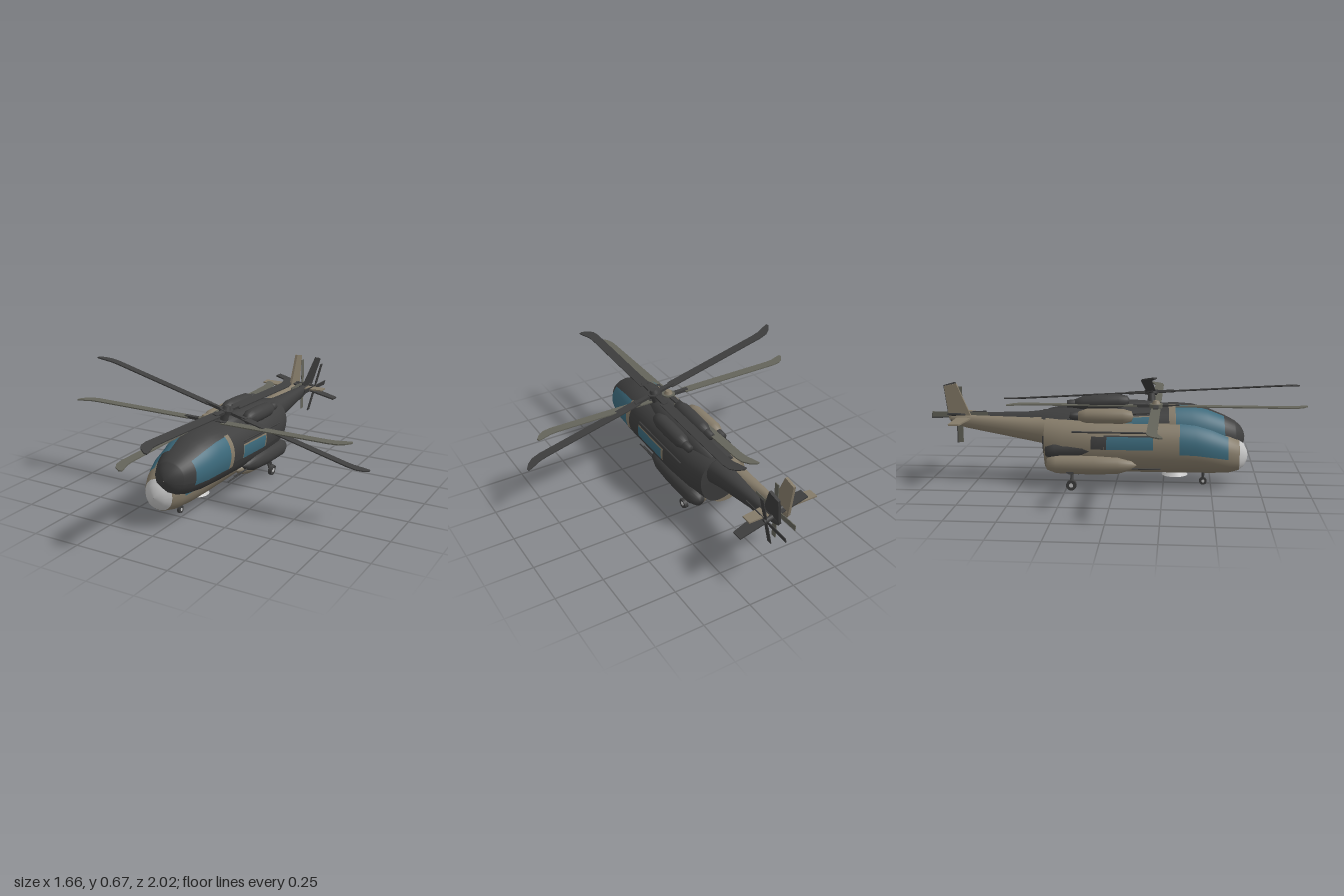
import * as THREE from 'three';

const mat = (name, color) => {
  const m = new THREE.MeshStandardMaterial({ color });
  m.name = name;
  return m;
};

// Fuselage and boom sections: z, centre y, half width, half height
const BODY = [
  [0.69, 0.165, 0.002, 0.002], [0.685, 0.165, 0.026, 0.028], [0.67, 0.165, 0.054, 0.058],
  [0.64, 0.168, 0.082, 0.083], [0.59, 0.177, 0.109, 0.104], [0.5, 0.197, 0.135, 0.127],
  [0.42, 0.21, 0.145, 0.14], [0.33, 0.215, 0.15, 0.146], [-0.1, 0.215, 0.15, 0.146],
  [-0.27, 0.215, 0.138, 0.144], [-0.37, 0.217, 0.115, 0.138],
];
const BOOM = [[-0.3, 0.275, 0.085, 0.08], [-0.45, 0.285, 0.055, 0.062],
  [-0.8, 0.322, 0.02, 0.034], [-0.88, 0.335, 0.012, 0.02], [-0.882, 0.335, 0.001, 0.001]];

function sectionAt(z) {
  const i = Math.max(1, BODY.findIndex((s) => s[0] <= z));
  const a = BODY[i - 1], b = BODY[i], t = (a[0] - z) / (a[0] - b[0]);
  return a.map((v, k) => v + (b[k] - v) * t);
}

// Skin over sections, between two angles in degrees
function loft(sections, a0 = 0, a1 = 360, n = 36, off = 0) {
  const pos = [], idx = [];
  const pw = (v) => Math.sign(v) * Math.abs(v) ** 0.92;
  sections.forEach(([z, cy, hw, hh], i) => {
    for (let j = 0; j <= n; j++) {
      const a = THREE.MathUtils.degToRad(a0 + ((a1 - a0) * j) / n);
      pos.push((hw + off) * pw(Math.cos(a)), cy + (hh + off) * pw(Math.sin(a)), z);
      if (i && j) {
        const d = i * (n + 1) + j, c = d - 1, b = d - n - 1, a2 = b - 1;
        idx.push(a2, c, b, b, c, d);
      }
    }
  });
  const g = new THREE.BufferGeometry();
  g.setAttribute('position', new THREE.Float32BufferAttribute(pos, 3));
  g.setIndex(idx);
  g.computeVertexNormals();
  return g;
}

// Painted panel lying on the fuselage skin
function panel(z0, z1, a0, a1, off) {
  const mid = BODY.filter((s) => s[0] < z0 && s[0] > z1);
  return loft([sectionAt(z0), ...mid, sectionAt(z1)], a0, a1, 18, off);
}

// Round body along z from [radius, z] pairs
function spindle(profile) {
  return new THREE.LatheGeometry(profile.map(([r, z]) => new THREE.Vector2(r, z)), 20).rotateX(Math.PI / 2);
}

function plate(points, depth) {
  const shape = new THREE.Shape(points.map(([x, y]) => new THREE.Vector2(x, y)));
  return new THREE.ExtrudeGeometry(shape, { depth, bevelEnabled: false }).translate(0, 0, -depth / 2);
}

function rod(a, b, r) {
  const va = new THREE.Vector3(...a), vb = new THREE.Vector3(...b);
  return new THREE.TubeGeometry(new THREE.LineCurve3(va, vb), 1, r, 8);
}

function helicopter(name, paint, accent, blade, nose, c) {
  const g = new THREE.Group();
  g.name = name;
  const add = (part, geo, m, x = 0, y = 0, z = 0) => {
    const mesh = new THREE.Mesh(geo, m);
    mesh.name = part;
    mesh.position.set(x, y, z);
    g.add(mesh);
    return mesh;
  };

  // Fuselage
  const cut = sectionAt(0.645);
  add('radome', loft([...BODY.filter((s) => s[0] > 0.645), cut]), nose);
  add('fuselage', loft([cut, ...BODY.filter((s) => s[0] < 0.645)]), paint);
  const end = BODY[BODY.length - 1];
  add('rearBulkhead', loft([end, [-0.38, 0.22, 0.001, 0.001]]), paint);
  add('tailBoom', loft(BOOM), paint);
  add('roofFairing', spindle([[0, -0.36], [0.04, -0.34], [0.062, -0.2], [0.066, 0.1], [0.05, 0.24], [0, 0.3]]),
    paint, 0, 0.32, 0);

  // Glazing and painted frames, both sides
  for (const side of [1, -1]) {
    const p = (part, z0, z1, a0, a1, off, m) => add(part,
      side > 0 ? panel(z0, z1, a0, a1, off) : panel(z0, z1, 180 - a1, 180 - a0, off), m);
    p('cockpitGlass', 0.585, 0.335, -7, 58, 0.003, c.glass);
    p('cabinWindow', 0.2, -0.04, 0, 24, 0.004, c.glass);
    p('windowFrame', 0.2, -0.055, 0, 27, 0.002, accent);
    if (paint === c.dark) p('cockpitBand', 0.335, 0.3, -7, 60, 0.003, accent);
    else p('doorPanel', -0.055, -0.12, 0, 24, 0.003, accent);

    // Side tanks, engines and rails
    add('sponson', spindle([[0, -0.355], [0.03, -0.35], [0.048, -0.3], [0.052, -0.1], [0.045, 0.02],
      [0.025, 0.09], [0, 0.115]]), paint, side * 0.13, 0.13, 0);
    add('enginePod', spindle([[0, -0.2], [0.022, -0.195], [0.038, -0.15], [0.041, -0.05], [0.04, 0.04],
      [0.028, 0.085], [0, 0.095]]), paint, side * 0.066, 0.373, 0);
    add('exhaust', spindle([[0, -0.235], [0.02, -0.235], [0.024, -0.18], [0, -0.17]]), c.dark, side * 0.066, 0.373, 0);
    add('sideRail', rod([side * 0.128, 0.3, 0.2], [side * 0.128, 0.3, -0.22], 0.005), c.dark);
    add('lowerRail', rod([side * 0.145, 0.115, 0.24], [side * 0.145, 0.115, 0.06], 0.004), c.dark);

    // Main landing gear
    add('mainStrut', rod([side * 0.12, 0.12, -0.22], [side * 0.155, 0.028, -0.22], 0.008), c.dark);
    add('mainWheel', new THREE.CylinderGeometry(0.027, 0.027, 0.018, 20).rotateZ(Math.PI / 2),
      c.dark, side * 0.163, 0.027, -0.22);
    add('mainHub', new THREE.CylinderGeometry(0.011, 0.011, 0.022, 12).rotateZ(Math.PI / 2),
      c.grey, side * 0.163, 0.027, -0.22);
  }

  // Nose gear and belly dish
  add('noseStrut', rod([0, 0.09, 0.46], [0, 0.02, 0.46], 0.007), c.dark);
  add('noseWheel', new THREE.CylinderGeometry(0.02, 0.02, 0.014, 20).rotateZ(Math.PI / 2), c.dark, 0, 0.02, 0.46);
  add('noseHub', new THREE.CylinderGeometry(0.008, 0.008, 0.017, 12).rotateZ(Math.PI / 2), c.grey, 0, 0.02, 0.46);
  add('bellyDish', new THREE.CylinderGeometry(0.05, 0.068, 0.022, 28), nose, 0, 0.066, 0.31);

  // Tail surfaces
  add('tailFin', plate([[0.77, 0.34], [0.89, 0.33], [0.915, 0.51], [0.85, 0.525]], 0.014).rotateY(Math.PI / 2), paint);
  add('stabilizer', plate([[-0.195, 0.795], [0, 0.77], [0.195, 0.795], [0.195, 0.85], [0, 0.85], [-0.195, 0.85]], 0.008)
    .rotateX(-Math.PI / 2), paint, 0, 0.34, 0);

  // Tail rotor on the left of the fin
  add('tailRotorShaft', new THREE.CylinderGeometry(0.012, 0.012, 0.05, 12).rotateZ(Math.PI / 2), c.dark, 0.03, 0.35, -0.845);
  for (let i = 0; i < 4; i++) {
    const b = plate([[0.005, -0.007], [0.04, -0.014], [0.152, -0.014], [0.152, 0.014], [0.04, 0.014], [0.005, 0.007]], 0.004);
    add('tailRotorBlade', b.rotateY(Math.PI / 2), blade, 0.046, 0.35, -0.845).rotation.x = (i * Math.PI) / 2;
  }

  // Main rotor with swept blade tips
  add('mast', new THREE.CylinderGeometry(0.018, 0.024, 0.1, 16), c.dark, 0, 0.38, 0.21);
  add('rotorHub', new THREE.CylinderGeometry(0.036, 0.036, 0.02, 20), blade, 0, 0.42, 0.21);
  add('hubCap', new THREE.CylinderGeometry(0.015, 0.024, 0.018, 16), paint, 0, 0.438, 0.21);
  const outline = [[0.1, -0.024], [0.69, -0.024], [0.735, -0.016], [0.765, 0.005], [0.788, 0.036],
    [0.785, 0.052], [0.755, 0.044], [0.71, 0.029], [0.67, 0.025], [0.1, 0.025]];
  for (let i = 0; i < 4; i++) {
    const turn = (i * Math.PI) / 2;
    add('rotorBlade', plate(outline, 0.006).rotateX(-Math.PI / 2), blade, 0, 0.42, 0.21).rotation.y = turn;
    add('bladeGrip', new THREE.BoxGeometry(0.1, 0.014, 0.024).translate(0.07, 0, 0), c.dark, 0, 0.42, 0.21).rotation.y = turn;
  }
  return g;
}

export function createModel() {
  const c = {
    tan: mat('tanPaint', 0x857b69),
    dark: mat('charcoalPaint', 0x3e3e3e),
    glass: mat('blueGlass', 0x3c6a7c),
    grey: mat('lightGrey', 0xc4c4c4),
    olive: mat('oliveBlade', 0x64645a),
  };
  const model = new THREE.Group();
  model.name = 'helicopterPair';

  const level = helicopter('tanHelicopter', c.tan, c.dark, c.olive, c.grey, c);
  level.position.x = -0.03;

  // Second aircraft banked and pitched about its rotor hub
  const banked = new THREE.Group();
  banked.name = 'bankedHelicopter';
  const inner = helicopter('darkHelicopter', c.dark, c.tan, c.dark, c.dark, c);
  inner.position.set(0, -0.42, -0.21);
  banked.add(inner);
  banked.rotation.set(-0.06, 0, -0.243, 'ZYX');
  banked.position.set(0.075, 0.475, 0.18);

  model.add(level, banked);
  return model;
}
